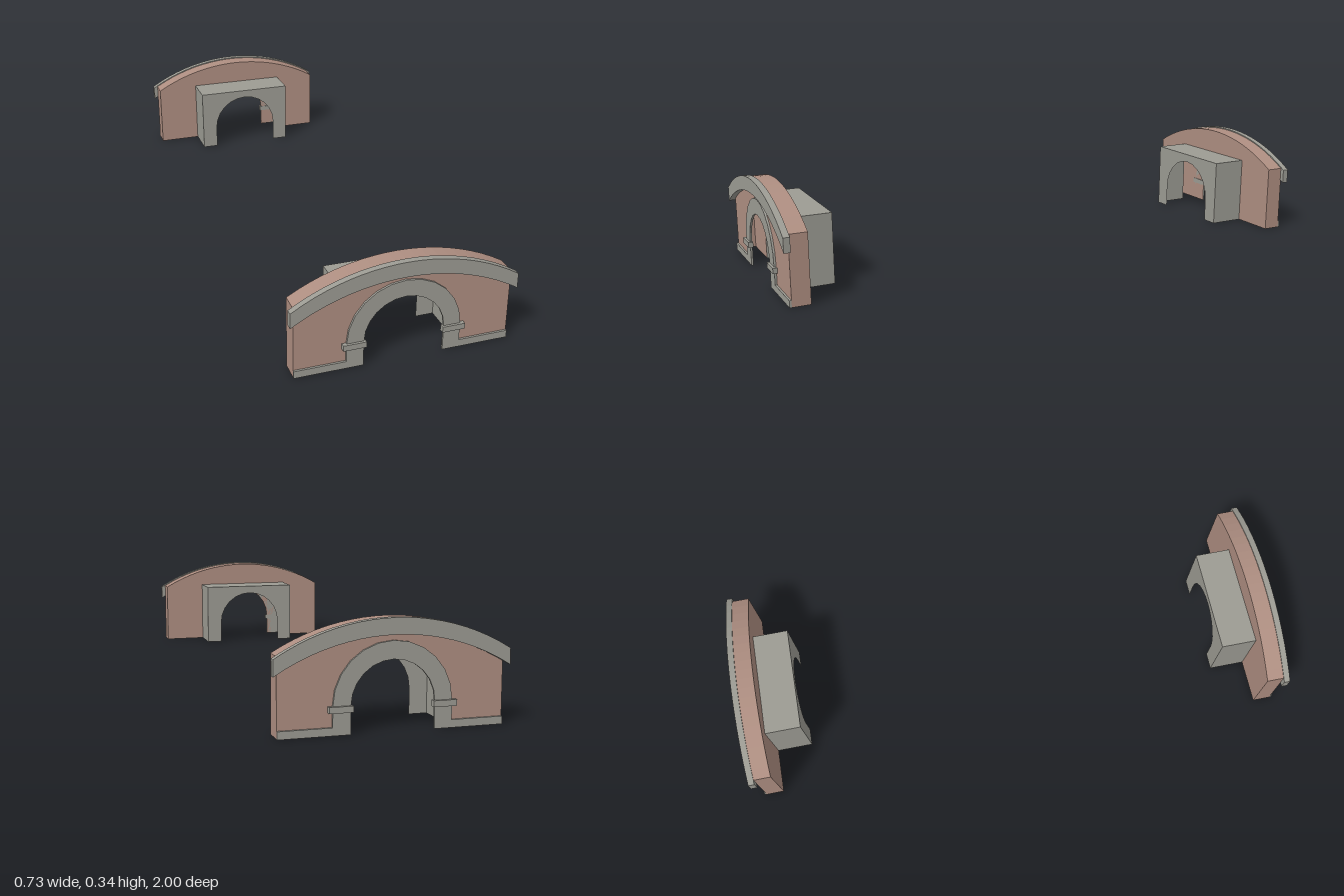
import * as THREE from 'three';

const stone = new THREE.MeshStandardMaterial({ color: 0x9c9b93, side: THREE.DoubleSide });
stone.name = 'grey stone';
const brick = new THREE.MeshStandardMaterial({ color: 0xae8e81, side: THREE.DoubleSide });
brick.name = 'red brick';

const HALF = 0.35, SPRING = 0.085, R_IN = 0.13, R_OUT = 0.185;
const BACK = 0.917, FACE = 0.98, INNER = 0.788;
const BOX_W = 0.19, BOX_H = 0.245;

// Shallow crown curve, left to right
function crown(half, top, n = 20) {
  const R = 0.687, pts = [];
  for (let i = 0; i <= n; i++) {
    const x = -half + (2 * half * i) / n;
    pts.push([x, top - R + Math.sqrt(R * R - x * x)]);
  }
  return pts;
}

// Stilted round arch, from the right foot over to the left foot
function arch(r) {
  const pts = [[r, 0]];
  for (let i = 0; i <= 12; i++) {
    const a = (Math.PI * i) / 12;
    pts.push([r * Math.cos(a), SPRING + r * Math.sin(a)]);
  }
  pts.push([-r, 0]);
  return pts;
}

const toShape = (pts) => new THREE.Shape(pts.map(([x, y]) => new THREE.Vector2(x, y)));

function panel(pts, z) {
  return new THREE.ShapeGeometry(toShape(pts)).translate(0, 0, z);
}

function slab(pts, z0, z1) {
  return new THREE.ExtrudeGeometry(toShape(pts), { depth: z1 - z0, bevelEnabled: false }).translate(0, 0, z0);
}

// Open strip following a path between two depths, outside face up
function ribbon(pts, z0, z1) {
  const g = new THREE.PlaneGeometry(1, 1, pts.length - 1, 1);
  const p = g.attributes.position;
  for (let i = 0; i < p.count; i++) {
    const [x, y] = pts[i % pts.length];
    p.setXYZ(i, x, y, i < pts.length ? z0 : z1);
  }
  const flat = g.toNonIndexed();
  flat.computeVertexNormals();
  return flat;
}

function createPortal(name) {
  const portal = new THREE.Group();
  portal.name = name;
  const add = (part, geometry, material) => {
    const m = new THREE.Mesh(geometry, material);
    m.name = part;
    portal.add(m);
    return m;
  };

  // Hollow brick wall, open underneath
  const top = crown(HALF, 0.334);
  const outline = [[-HALF, 0], ...top, [HALF, 0]];
  const boxPath = [[-BOX_W, 0], [-BOX_W, BOX_H], [BOX_W, BOX_H], [BOX_W, 0]];
  add('wallFront', panel([...outline, ...arch(R_IN)], FACE), brick);
  const back = panel([...outline, ...[...boxPath].reverse()], 0);
  back.rotateY(Math.PI).translate(0, 0, BACK);
  add('wallBack', back, brick);
  add('wallTopAndEnds', ribbon(outline, BACK, FACE), brick);

  // Hollow tunnel stub behind the wall
  add('tunnelShell', ribbon(boxPath, INNER, BACK), stone);
  const end = panel([...boxPath, ...arch(R_IN)], 0);
  end.rotateY(Math.PI).translate(0, 0, INNER);
  add('tunnelEnd', end, stone);

  // Arch surround with its legs
  add('archSurround', slab([...arch(R_OUT), ...arch(R_IN).reverse()], FACE, 0.987), stone);

  // Curved coping along the top
  const upper = crown(0.365, 0.338);
  const lower = upper.map(([x, y]) => [x, y - 0.05]).reverse();
  add('coping', slab([...upper, ...lower], 0.978, 1), stone);

  // Plinths and impost blocks on both sides
  for (const s of [-1, 1]) {
    const w = HALF - R_OUT;
    const plinth = new THREE.BoxGeometry(w, 0.024, 0.007);
    add('plinth', plinth, stone).position.set(s * (R_OUT + w / 2), 0.012, 0.9835);
    const impost = new THREE.BoxGeometry(0.074, 0.019, 0.017);
    add('impost', impost, stone).position.set(s * 0.161, 0.0765, 0.9865);
  }
  return portal;
}

export function createModel() {
  const model = new THREE.Group();
  model.name = 'tunnelPortals';
  const front = createPortal('frontPortal');
  const rear = createPortal('rearPortal');
  rear.rotation.y = Math.PI;
  model.add(front, rear);
  return model;
}
